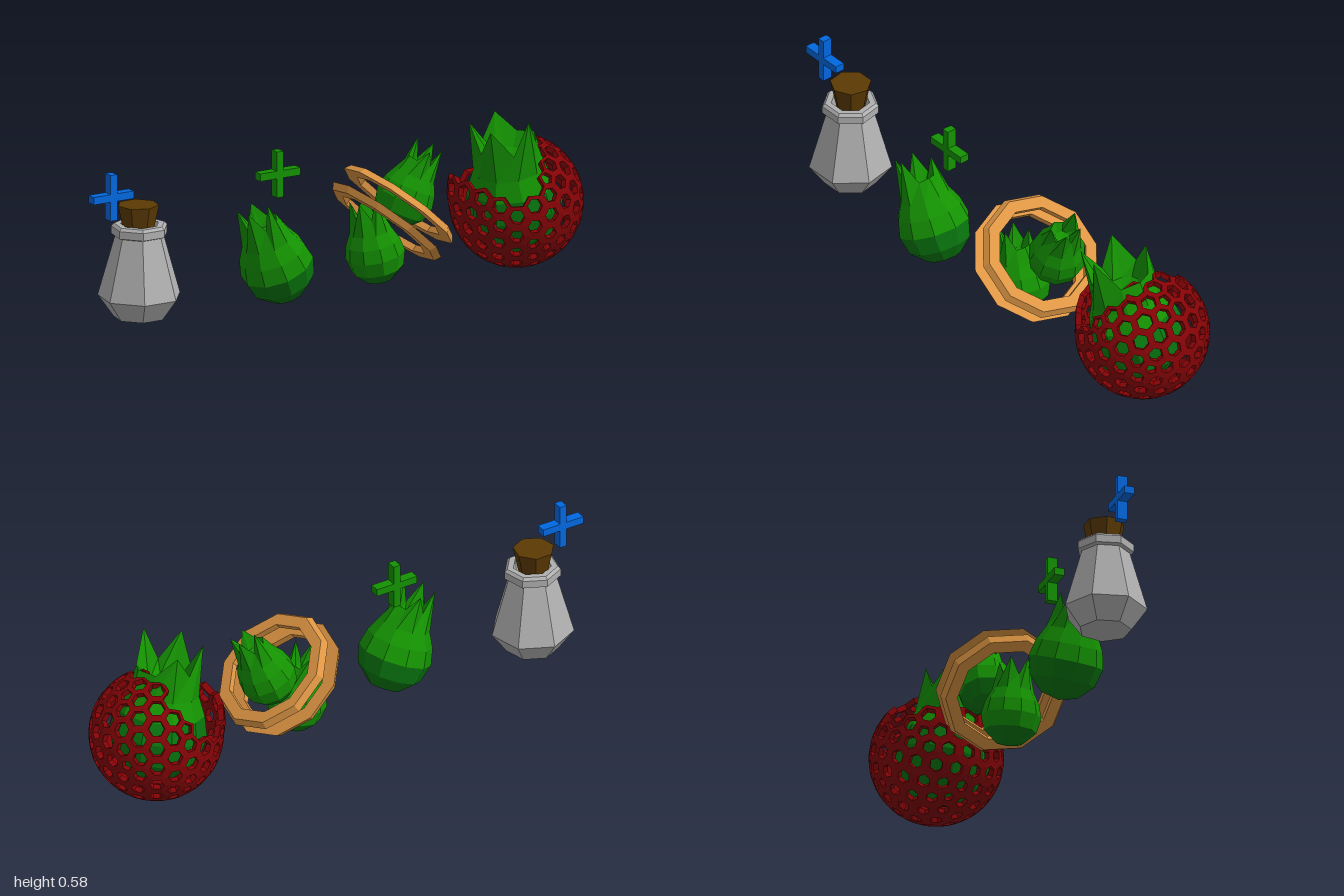
import * as THREE from 'three';

const mat = (name, color, side = THREE.FrontSide) => {
  const m = new THREE.MeshStandardMaterial({ color, side, flatShading: true });
  m.name = name;
  return m;
};

// Quad collector; corners are given counter-clockwise from outside
function collector() {
  const pos = [];
  const quad = (a, b, c, d) => [a, b, c, a, c, d].forEach(v => pos.push(v.x, v.y, v.z));
  const build = () => {
    const g = new THREE.BufferGeometry();
    g.setAttribute('position', new THREE.Float32BufferAttribute(pos, 3));
    g.computeVertexNormals();
    return g;
  };
  return { quad, build };
}

// Round bulb that narrows to a crown of five pointed leaves (unit radius, axis +y);
// the first darkRows bands use the second material
function bulbGeometry(crown, darkRows) {
  const N = 10, { quad, build } = collector();
  const tips = [2.0, 2.05, 1.4, 1.8, 1.95];
  const point = (y, r, i) => {
    const a = (i / N) * Math.PI * 2;
    return new THREE.Vector3(Math.sin(a) * r, y, Math.cos(a) * r);
  };
  const loop = f => Array.from({ length: N }, (_, i) => f(i));
  const rings = [[-1, 0.01], [-0.88, 0.48], [-0.5, 0.87], [0, 1], [0.45, 0.9], [0.85, 0.6 + crown * 0.2]];
  const loops = rings.map(([y, r]) => loop(i => point(y, r, i)));
  loops.push(loop(i => (i % 2 ? point(1.36, crown * 0.9, i) : point(tips[i / 2], crown * 1.02, i))));
  loops.push(loop(i => point(1.12, crown * 0.5, i)));
  loops.push(loop(i => point(1.05, 0.01, i)));
  for (let k = 0; k < loops.length - 1; k++) {
    for (let i = 0; i < N; i++) {
      const j = (i + 1) % N;
      quad(loops[k][i], loops[k][j], loops[k + 1][j], loops[k + 1][i]);
    }
  }
  const g = build(), band = N * 6;
  g.addGroup(0, darkRows * band, 1);
  g.addGroup(darkRows * band, (loops.length - 1 - darkRows) * band, 0);
  return g;
}

// Hollow ball of hexagonal cells with an opening at the upper right side
function netGeometry(R, wall) {
  const { quad, build } = collector();
  const open = new THREE.Vector3(-0.55, 0.835, 0);
  const isOpen = d => d.dot(open) > 0.79 - 0.45 * d.z * d.z;
  const shell = (d, r) => {
    const flare = 0.3 * Math.max(0, d.dot(open) - 0.45) * Math.max(0, -d.x);
    return d.clone().multiplyScalar(r * (1 + flare));
  };
  // Group triangle centres of an icosphere around each shared corner
  const p = new THREE.IcosahedronGeometry(1, 3).getAttribute('position');
  const cells = new Map();
  for (let i = 0; i < p.count; i += 3) {
    const v = [0, 1, 2].map(k => new THREE.Vector3().fromBufferAttribute(p, i + k));
    const centre = v[0].clone().add(v[1]).add(v[2]).normalize();
    for (const c of v) {
      const key = c.toArray().map(n => Math.round(n * 1000)).join();
      if (!cells.has(key)) cells.set(key, { c, around: [] });
      cells.get(key).around.push(centre);
    }
  }
  for (const { c, around } of cells.values()) {
    if (isOpen(c)) continue;
    const u = around[0].clone().sub(c).projectOnPlane(c).normalize();
    const w = c.clone().cross(u);
    const angle = d => Math.atan2(d.dot(w), d.dot(u));
    around.sort((a, b) => angle(a) - angle(b));
    // Holes grow from the bottom towards the opening
    const size = 0.62 + 0.1 * c.y;
    const hole = around.map(d => c.clone().lerp(d, size).normalize());
    around.forEach((a, i) => {
      const j = (i + 1) % around.length, b = around[j];
      const [A, B, H, K] = [a, b, hole[j], hole[i]].map(d => shell(d, R));
      const [a2, b2, h2, k2] = [a, b, hole[j], hole[i]].map(d => shell(d, R - wall));
      quad(A, B, H, K);
      quad(k2, h2, b2, a2);
      quad(K, H, h2, k2);
      // Rim wall where the neighbouring cell is missing
      const next = a.clone().add(b).sub(c).normalize();
      if (isOpen(next)) quad(B, A, a2, b2);
    });
  }
  return build();
}

export function createModel() {
  const model = new THREE.Group();
  const glass = mat('grey glass', 0xb0b0b0, THREE.DoubleSide);
  const cork = mat('brown cork', 0x5c3a02);
  const blue = mat('blue', 0x0268e0);
  const green = mat('leaf green', 0x149202, THREE.DoubleSide);
  const darkGreen = mat('dark green', 0x08760e, THREE.DoubleSide);
  const tan = mat('tan wood', 0xde9644);
  const red = mat('dark red', 0x840306, THREE.DoubleSide);

  const add = (name, geometry, material, x, y, z) => {
    const m = new THREE.Mesh(geometry, material);
    m.name = name;
    m.position.set(x, y, z);
    model.add(m);
    return m;
  };

  // Seven-sided bottle with an open lip
  const profile = [[0, 0.05], [0.092, 0.05], [0.147, 0.125], [0.086, 0.34], [0.1, 0.345],
    [0.1, 0.372], [0.09, 0.382], [0.068, 0.382], [0.062, 0.33], [0, 0.32]];
  const bottle = new THREE.LatheGeometry(profile.map(([r, y]) => new THREE.Vector2(r, y)), 7, Math.PI);
  add('bottle', bottle, glass, -0.793, 0, 0.015);
  add('cork', new THREE.CylinderGeometry(0.073, 0.052, 0.1, 7), cork, -0.797, 0.4, 0.01);

  // Plus signs made from an extruded cross
  const cross = (name, material, x, y) => {
    const L = 0.082, t = 0.0135, s = new THREE.Shape();
    [[t, t], [t, L], [-t, L], [-t, t], [-L, t], [-L, -t], [-t, -t], [-t, -L], [t, -L], [t, -t], [L, -t], [L, t]]
      .forEach(([a, b], i) => (i ? s.lineTo(a, b) : s.moveTo(a, b)));
    add(name, new THREE.ExtrudeGeometry(s, { depth: 0.036, bevelEnabled: false }), material, x, y, 0.009);
  };
  cross('bluePlus', blue, -0.918, 0.498);
  cross('greenPlus', green, -0.237, 0.484);

  // Leafy bulbs: position, radius, axis direction, spin, crown width, dark bands
  const up = new THREE.Vector3(0, 1, 0);
  const bulb = (name, pos, r, axis, spin, crown, darkRows) => {
    const m = add(name, bulbGeometry(crown, darkRows), [green, darkGreen], ...pos);
    m.scale.setScalar(r);
    m.quaternion.setFromUnitVectors(up, new THREE.Vector3(...axis).normalize());
    m.rotateY(spin);
  };
  bulb('looseBulb', [-0.267, 0.166, 0.07], 0.131, [-0.4, 0.92, 0.06], -0.94, 0.48, 3);
  bulb('lowerBulb', [0.16, 0.14, 0.03], 0.105, [-0.2, 0.95, 0], -0.94, 0.5, 2);
  bulb('upperBulb', [0.307, 0.312, -0.01], 0.103, [0.38, 0.88, 0.12], 2.2, 0.5, 2);
  bulb('nettedBulb', [0.748, 0.23, -0.002], 0.17, [-0.22, 0.97, 0.13], -0.94, 0.68, 4);

  // Two tilted ten-sided hoops, their outer rims sloping away from each other
  const ring = (path, r) => {
    path.setFromPoints(Array.from({ length: 10 }, (_, i) => {
      const a = (i / 10) * Math.PI * 2;
      return new THREE.Vector2(Math.cos(a) * r, Math.sin(a) * r);
    }));
    path.closePath();
    return path;
  };
  const tilt = new THREE.Quaternion().setFromUnitVectors(
    new THREE.Vector3(0, 0, 1), new THREE.Vector3(0.66, 0.75, 0).normalize());
  const hoop = (name, x, y, narrowSide) => {
    const frame = ring(new THREE.Shape(), 0.228);
    frame.holes.push(ring(new THREE.Path(), 0.172));
    const g = new THREE.ExtrudeGeometry(frame, { depth: 0.024, bevelEnabled: false });
    g.translate(0, 0, -0.012);
    const p = g.getAttribute('position');
    for (let i = 0; i < p.count; i++) {
      const outer = Math.hypot(p.getX(i), p.getY(i)) > 0.2;
      const s = outer && p.getZ(i) * narrowSide > 0 ? 0.94 : 1;
      p.setXY(i, p.getX(i) * s, p.getY(i) * s);
    }
    g.computeVertexNormals();
    add(name, g, tan, x, y, 0.025).quaternion.copy(tilt);
  };
  hoop('lowerHoop', 0.205, 0.245, -1);
  hoop('upperHoop', 0.265, 0.305, 1);

  // Open net ball around the last bulb
  add('netBall', netGeometry(0.234, 0.02), red, 0.766, 0.235, -0.016);

  return model;
}
